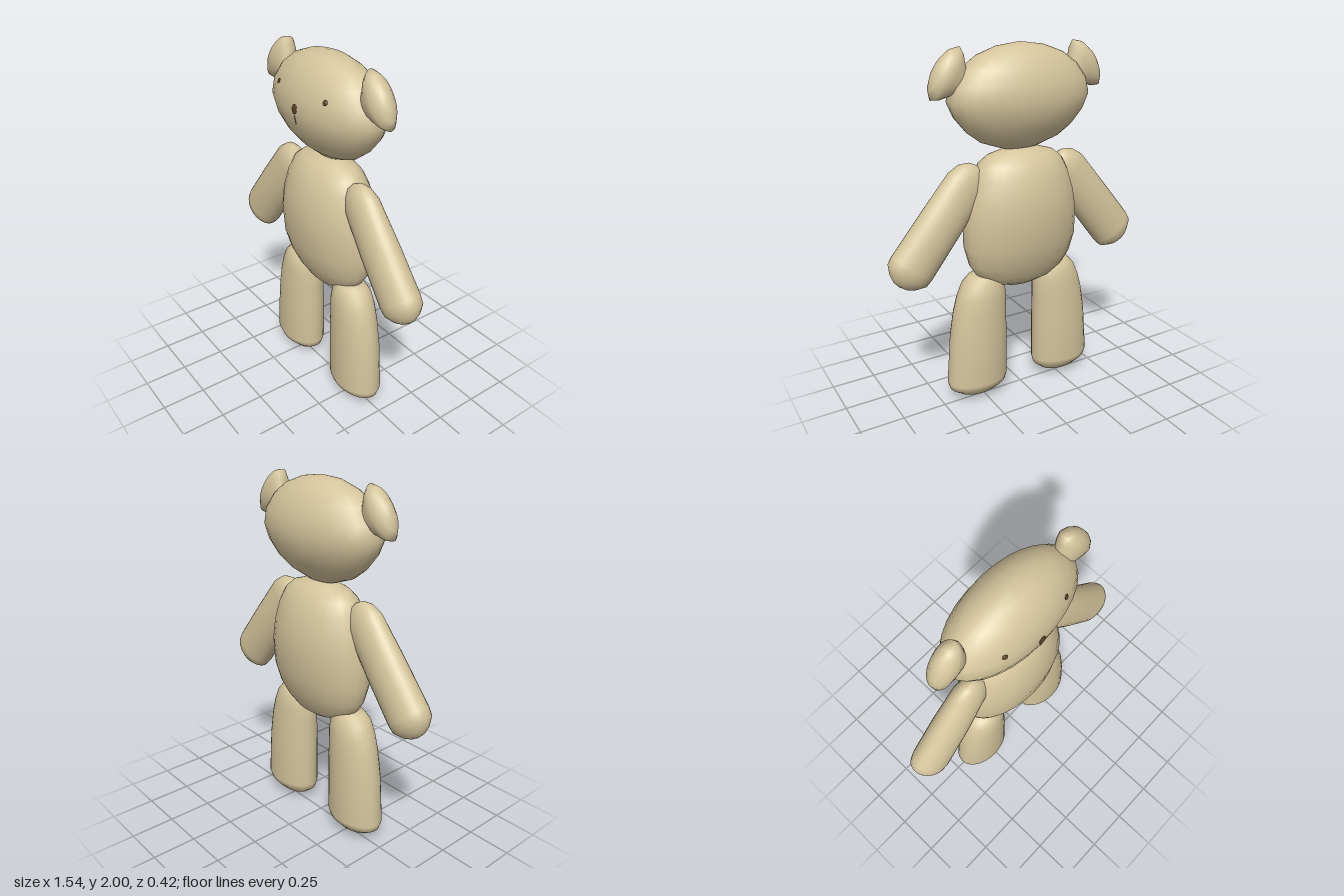
import * as THREE from 'three';

const fur = new THREE.MeshStandardMaterial({ color: 0xd4c49c });
fur.name = 'tan fur';
const brown = new THREE.MeshStandardMaterial({ color: 0x5a4026 });
brown.name = 'dark brown';

// Closed smooth skin over elliptical rings [y, rx, rz, cx], from the bottom pole to the top pole
function loft(rings, bottom, top, side = 1, n = 28) {
  const pos = [];
  const idx = [];
  for (const [y, rx, rz, cx = 0] of rings) {
    for (let j = 0; j < n; j++) {
      const a = (j / n) * Math.PI * 2;
      pos.push(cx * side + rx * Math.sin(a), y, rz * Math.cos(a));
    }
  }
  const last = rings.length - 1;
  const p0 = rings.length * n;
  pos.push((rings[0][3] || 0) * side, bottom, 0, (rings[last][3] || 0) * side, top, 0);
  for (let j = 0; j < n; j++) {
    const k = (j + 1) % n;
    idx.push(p0, k, j, p0 + 1, last * n + j, last * n + k);
    for (let i = 0; i < last; i++) {
      const a = i * n + j, b = i * n + k;
      idx.push(a, b, b + n, a, b + n, a + n);
    }
  }
  const g = new THREE.BufferGeometry();
  g.setAttribute('position', new THREE.Float32BufferAttribute(pos, 3));
  g.setIndex(idx);
  g.computeVertexNormals();
  return g;
}

const HEAD = [
  [1.455, 0.11, 0.045], [1.5, 0.235, 0.1], [1.56, 0.315, 0.15], [1.64, 0.38, 0.19],
  [1.72, 0.415, 0.206], [1.8, 0.395, 0.198], [1.88, 0.335, 0.168], [1.94, 0.25, 0.125],
  [1.98, 0.14, 0.072],
];
const BODY = [
  [0.668, 0.1, 0.05], [0.7, 0.2, 0.092], [0.75, 0.27, 0.122], [0.82, 0.315, 0.155],
  [0.93, 0.342, 0.19], [1.08, 0.342, 0.206], [1.2, 0.32, 0.2], [1.31, 0.285, 0.175],
  [1.38, 0.25, 0.14], [1.42, 0.2, 0.105], [1.45, 0.1, 0.055],
];
const ARM = [
  [0.17, 0.045, 0.03], [0.193, 0.085, 0.062], [0.235, 0.126, 0.09], [0.28, 0.131, 0.096],
  [0.55, 0.127, 0.092], [0.8, 0.122, 0.078], [0.865, 0.098, 0.06], [0.905, 0.055, 0.035],
];
const LEG = [
  [0.015, 0.05, 0.03, 0.275], [0.04, 0.12, 0.07, 0.278], [0.08, 0.172, 0.106, 0.281],
  [0.12, 0.183, 0.122, 0.282], [0.4, 0.171, 0.121, 0.27], [0.55, 0.158, 0.115, 0.258],
  [0.64, 0.145, 0.11, 0.246], [0.71, 0.122, 0.1, 0.238], [0.755, 0.088, 0.072, 0.232],
];
const EAR = [
  [1.25, 0.05, 0.035], [1.305, 0.085, 0.055], [1.345, 0.13, 0.066], [1.38, 0.15, 0.07],
  [1.415, 0.115, 0.054], [1.435, 0.06, 0.03],
];

// Front surface depth of the head at x, y
function faceZ(x, y) {
  const i = HEAD.findIndex((r) => r[0] > y);
  const [a, b] = [HEAD[i - 1], HEAD[i]];
  const t = (y - a[0]) / (b[0] - a[0]);
  const rx = a[1] + (b[1] - a[1]) * t;
  const rz = a[2] + (b[2] - a[2]) * t;
  return rz * Math.sqrt(1 - (x / rx) ** 2);
}

export function createModel() {
  const model = new THREE.Group();
  model.name = 'teddyBear';

  function add(name, geometry, material, x = 0, y = 0, z = 0, rotZ = 0) {
    const m = new THREE.Mesh(geometry, material);
    m.name = name;
    m.position.set(x, y, z);
    m.rotation.z = rotZ;
    model.add(m);
    return m;
  }

  add('head', loft(HEAD, 1.45, 2.0), fur, 0, 0, 0.003);
  add('body', loft(BODY, 0.655, 1.457), fur);

  // Limbs and ears, mirrored
  for (const s of [1, -1]) {
    const label = s > 0 ? 'left' : 'right';
    add(label + 'Arm', loft(ARM, 0.162, 0.92), fur, s * 0.819, 0.658, 0.022, s * 0.677);
    add(label + 'Leg', loft(LEG, 0, 0.77, s), fur, 0, 0, 0.012);
    add(label + 'Ear', loft(EAR, 1.22, 1.442), fur, s * -0.731, 1.104, 0.013, s * -0.986);
  }

  // Flat beads for the face, turned to follow the head
  function bead(name, x, y, rx, ry) {
    const m = add(name, new THREE.SphereGeometry(1, 14, 10), brown, x, y, faceZ(x, y) + 0.003);
    m.scale.set(rx, ry, 0.0045);
    m.rotation.y = Math.atan((faceZ(x - 0.01, y) - faceZ(x + 0.01, y)) / 0.02);
    m.rotation.x = -Math.atan((faceZ(x, y - 0.01) - faceZ(x, y + 0.01)) / 0.02);
  }
  bead('leftEye', 0.2, 1.82, 0.014, 0.014);
  bead('rightEye', -0.2, 1.82, 0.014, 0.014);
  bead('nose', 0, 1.738, 0.022, 0.026);
  for (let i = 0; i < 4; i++) bead('mouthStitch', 0, 1.7 - i * 0.013, 0.002, 0.004);

  return model;
}
